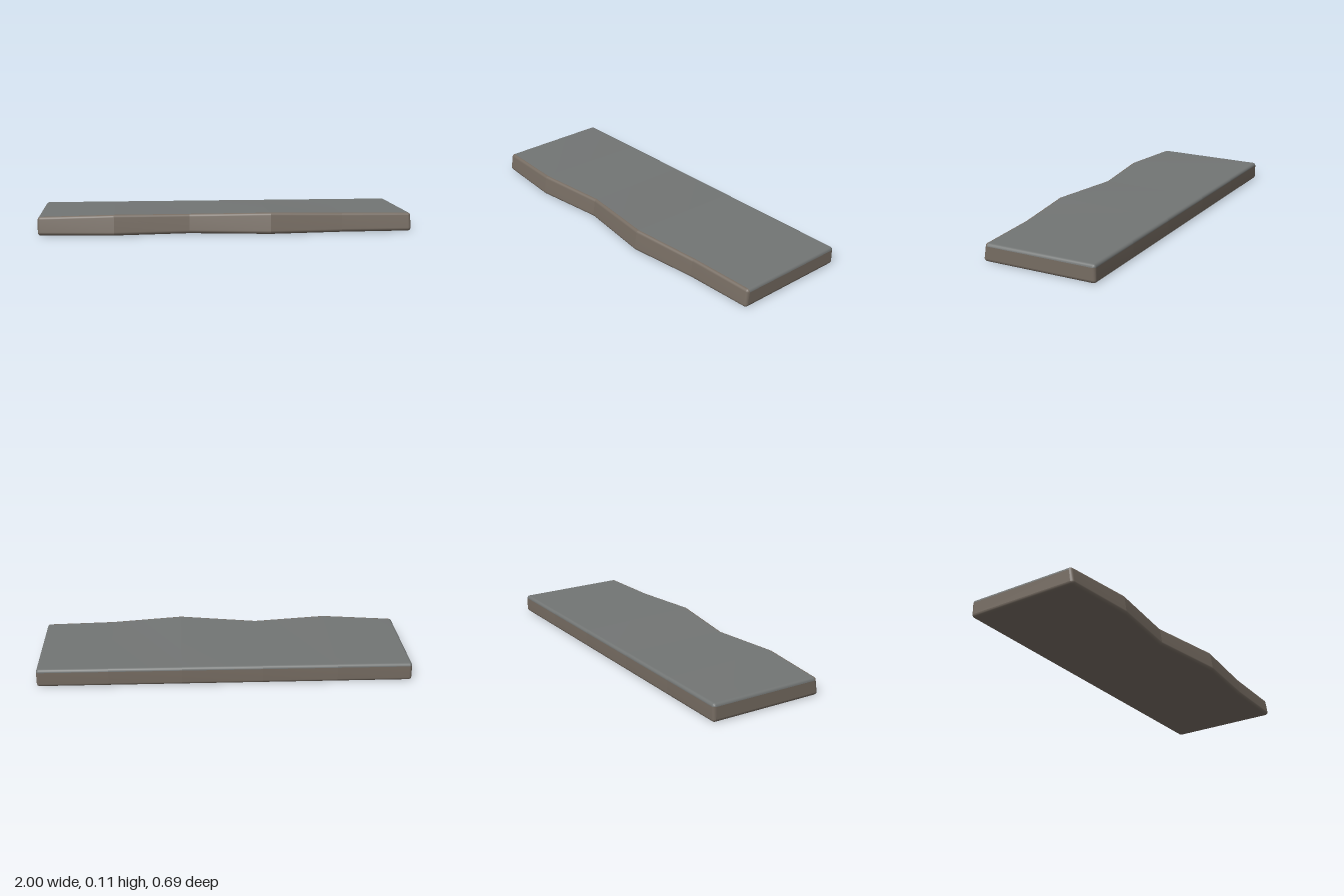
import * as THREE from 'three';

const R = 0.016;      // edge rounding
const STEPS = 4;      // segments per rounded corner
const BACK = -0.345;
const BACK_HEIGHT = 0.097;
const LEAN = 0.155;   // backward tilt of the front face, radians

// stations along the slab: x, front reach, height of the front edge
const stations = [
  [-1, 0.295, 0.098], [-0.6, 0.329, 0.109], [-0.2, 0.284, 0.103],
  [0.23, 0.345, 0.113], [0.62, 0.305, 0.102], [1, 0.294, 0.098],
];

// rounded cross-section, running back-bottom, front-bottom, front-top, back-top
function section(x, front, height, r) {
  const P = Math.PI;
  const topFront = front - R - (height - 2 * R) * Math.tan(LEAN);
  const corners = [
    [BACK + R, R, P, 1.5 * P],
    [front - R, R, 1.5 * P, 2 * P + LEAN],
    [topFront, height - R, LEAN, 0.5 * P],
    [BACK + R, BACK_HEIGHT - R, 0.5 * P, P],
  ];
  const ring = [];
  for (const [z, y, a0, a1] of corners) {
    for (let i = 0; i <= STEPS; i++) {
      const a = a0 + (a1 - a0) * i / STEPS;
      ring.push(new THREE.Vector3(x, y + r * Math.sin(a), z + r * Math.cos(a)));
    }
  }
  return ring;
}

// rings rounding off one end, listed from the outside in
function endRings([x, front, height]) {
  const rings = [];
  for (let i = 0; i < STEPS; i++) {
    const a = (Math.PI / 2) * (1 - i / STEPS);
    const px = Math.sign(x) * (1 - R + R * Math.sin(a));
    rings.push(section(px, front, height, R * Math.cos(a)));
  }
  rings.push(section(Math.sign(x) * (1 - R), front, height, R));
  return rings;
}

// returns the top surface and the body around it, with matching normals
function slabGeometries() {
  const positions = [], topIndex = [], bodyIndex = [];
  const addRing = (ring) => {
    const start = positions.length / 3;
    ring.forEach((p) => positions.push(p.x, p.y, p.z));
    return start;
  };
  const n = 4 * (STEPS + 1);
  const topStart = 3 * STEPS + 2; // top face and its rounded back edge
  const topEnd = n - 1;

  // each panel has its own vertices, so the bends stay crisp
  const last = stations.length - 1;
  for (let s = 0; s < last; s++) {
    const left = s === 0 ? endRings(stations[s]) : [section(...stations[s], R)];
    const right = s === last - 1 ? endRings(stations[s + 1]).reverse() : [section(...stations[s + 1], R)];
    const starts = [...left, ...right].map(addRing);
    for (let k = 0; k < starts.length - 1; k++) {
      for (let j = 0; j < n; j++) {
        const m = (j + 1) % n;
        const a = starts[k] + j, b = starts[k] + m;
        const c = starts[k + 1] + j, d = starts[k + 1] + m;
        const index = j >= topStart && j < topEnd ? topIndex : bodyIndex;
        index.push(a, c, b, b, c, d);
      }
    }
  }

  // flat end faces
  for (const station of [stations[0], stations[last]]) {
    const c = addRing(section(...station, 0).filter((_, i) => i % (STEPS + 1) === 0));
    if (station[0] < 0) bodyIndex.push(c, c + 1, c + 2, c, c + 2, c + 3);
    else bodyIndex.push(c, c + 2, c + 1, c, c + 3, c + 2);
  }

  const body = new THREE.BufferGeometry();
  body.setAttribute('position', new THREE.Float32BufferAttribute(positions, 3));
  body.setIndex([...topIndex, ...bodyIndex]);
  body.computeVertexNormals();
  const top = body.clone().setIndex(topIndex);
  body.setIndex(bodyIndex);
  return { top, body };
}

export function createModel() {
  const group = new THREE.Group();
  group.name = 'stoneSlab';
  const { top, body } = slabGeometries();
  const addPart = (name, geometry, color) => {
    const mesh = new THREE.Mesh(geometry, new THREE.MeshStandardMaterial({ color }));
    mesh.name = name;
    group.add(mesh);
  };
  addPart('topSurface', top, 0x727574);
  addPart('slabBody', body, 0x766c62);
  return group;
}
